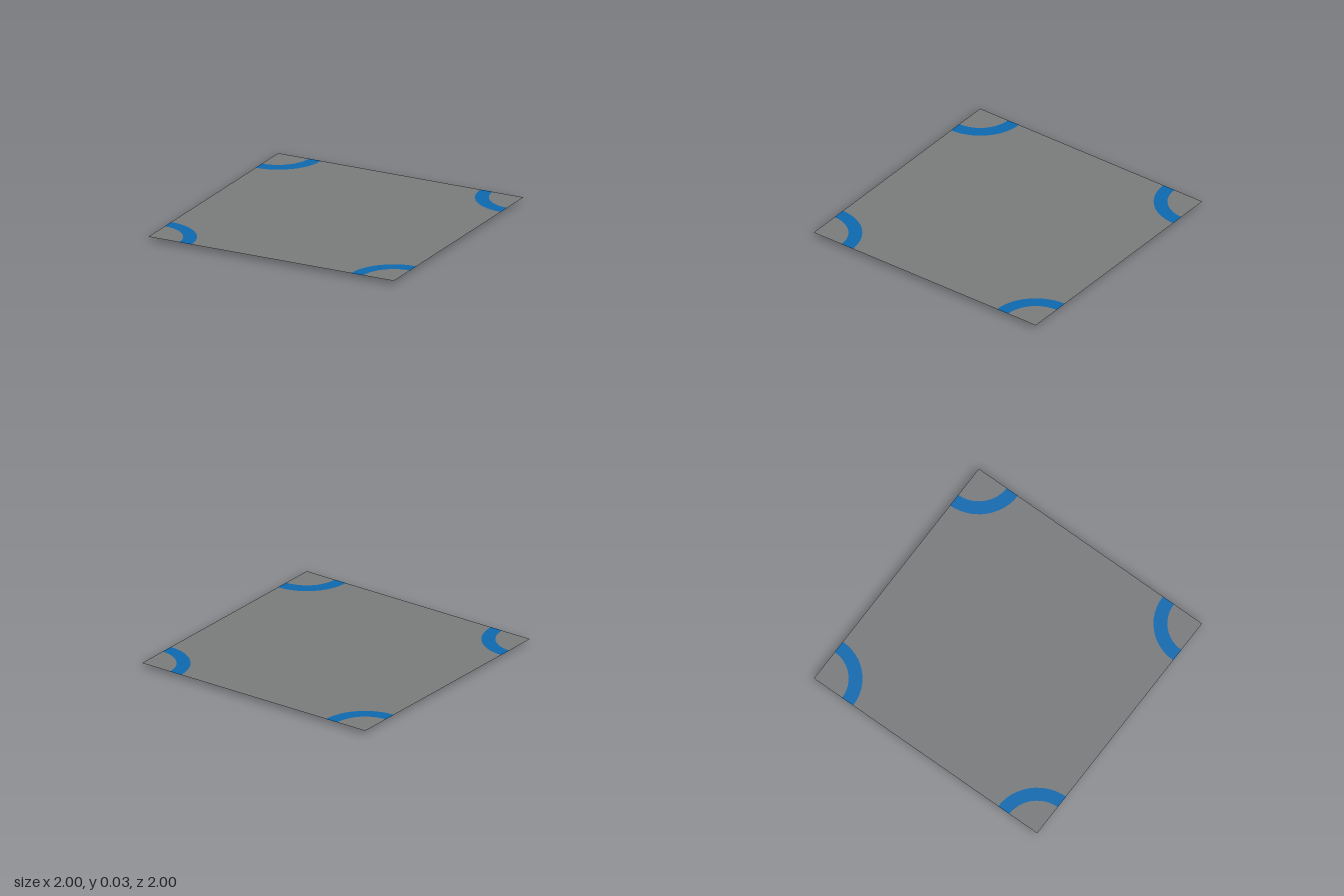
import * as THREE from 'three';

const PLATE_Y = 0.031;   // height of the thin top sheet
const BASE_Y = 0.011;    // underside of the raised body
const RING_IN = 0.25, RING_OUT = 0.35;

// Repeat a list of corner points at all four corners, counter-clockwise
function fourFold(corner) {
  const pts = [];
  for (let k = 0; k < 4; k++) {
    for (const p of corner) pts.push(p.clone().rotateAround(new THREE.Vector2(), k * Math.PI / 2));
  }
  return pts;
}

// Arc around the corner (1, 1), from angle a0 to a1
function cornerArc(r, a0, a1, n = 12) {
  return Array.from({ length: n + 1 }, (_, i) => {
    const a = a0 + (a1 - a0) * i / n;
    return new THREE.Vector2(1 + r * Math.cos(a), 1 + r * Math.sin(a));
  });
}

// Square with scooped corners whose tips are softly rounded
function scoopedOutline(edge, r) {
  const d = Math.asin((1 - edge) / r), soft = 0.08;
  const arc = cornerArc(r, 1.5 * Math.PI - d - soft, Math.PI + d + soft, 14);
  const tip = 1 - Math.sqrt(r * r - (1 - edge) ** 2);
  const first = new THREE.QuadraticBezierCurve(
    new THREE.Vector2(edge, tip - 0.05), new THREE.Vector2(edge, tip), arc[0]).getPoints(4);
  const last = first.map(p => new THREE.Vector2(p.y, p.x)).reverse();
  return fourFold([...first, ...arc.slice(1, -1), ...last]);
}

export function createModel() {
  const group = new THREE.Group();
  const grey = new THREE.MeshStandardMaterial({ color: 0x78797a, side: THREE.DoubleSide });
  grey.name = 'grey';
  const blue = new THREE.MeshStandardMaterial({ color: 0x0d68ac, side: THREE.DoubleSide });
  blue.name = 'blue';

  const add = (name, geometry, material, parent = group) => {
    const mesh = new THREE.Mesh(geometry, material);
    mesh.name = name;
    parent.add(mesh);
    return mesh;
  };
  const sheet = pts => new THREE.ShapeGeometry(new THREE.Shape(pts)).rotateX(-Math.PI / 2).translate(0, PLATE_Y, 0);

  // Thin top sheet, with rings and corner pieces fitted into its corners
  const A0 = 1.5 * Math.PI, A1 = Math.PI;
  add('topSheet', sheet(fourFold(cornerArc(RING_OUT, A0, A1))), grey);
  const ringPts = [...cornerArc(RING_IN, A0, A1), ...cornerArc(RING_OUT, A1, A0)];
  const cornerPts = [new THREE.Vector2(1, 1), ...cornerArc(RING_IN, A1, A0)];
  for (let k = 0; k < 4; k++) {
    add('cornerRing', sheet(ringPts), blue).rotation.y = k * Math.PI / 2;
    add('cornerPiece', sheet(cornerPts), grey).rotation.y = k * Math.PI / 2;
  }

  // Body below the sheet: sloped rim and flat underside
  const upper = scoopedOutline(0.943, 0.565), lower = scoopedOutline(0.913, 0.6);
  const n = upper.length, pos = [], index = [];
  lower.forEach(p => pos.push(p.x, BASE_Y, p.y));
  upper.forEach(p => pos.push(p.x, PLATE_Y, p.y));
  for (let i = 0; i < n; i++) {
    const j = (i + 1) % n;
    index.push(i, n + i, j, j, n + i, n + j);
  }
  const rim = new THREE.BufferGeometry();
  rim.setAttribute('position', new THREE.Float32BufferAttribute(pos, 3));
  rim.setIndex(index);
  rim.computeVertexNormals();
  add('bodyRim', rim, grey);
  add('bodyUnderside', new THREE.ShapeGeometry(new THREE.Shape(lower)).rotateX(Math.PI / 2).translate(0, BASE_Y, 0), grey);

  // Eight round feet, two along each side
  const feet = new THREE.Group();
  feet.name = 'feet';
  group.add(feet);
  const footGeo = new THREE.CylinderGeometry(0.057, 0.057, BASE_Y, 24);
  for (const sx of [-1, 1]) for (const sz of [-1, 1]) {
    for (const [x, z] of [[0.78, 0.3], [0.3, 0.78]]) {
      add('foot', footGeo, blue, feet).position.set(sx * x, BASE_Y / 2, sz * z);
    }
  }
  return group;
}
